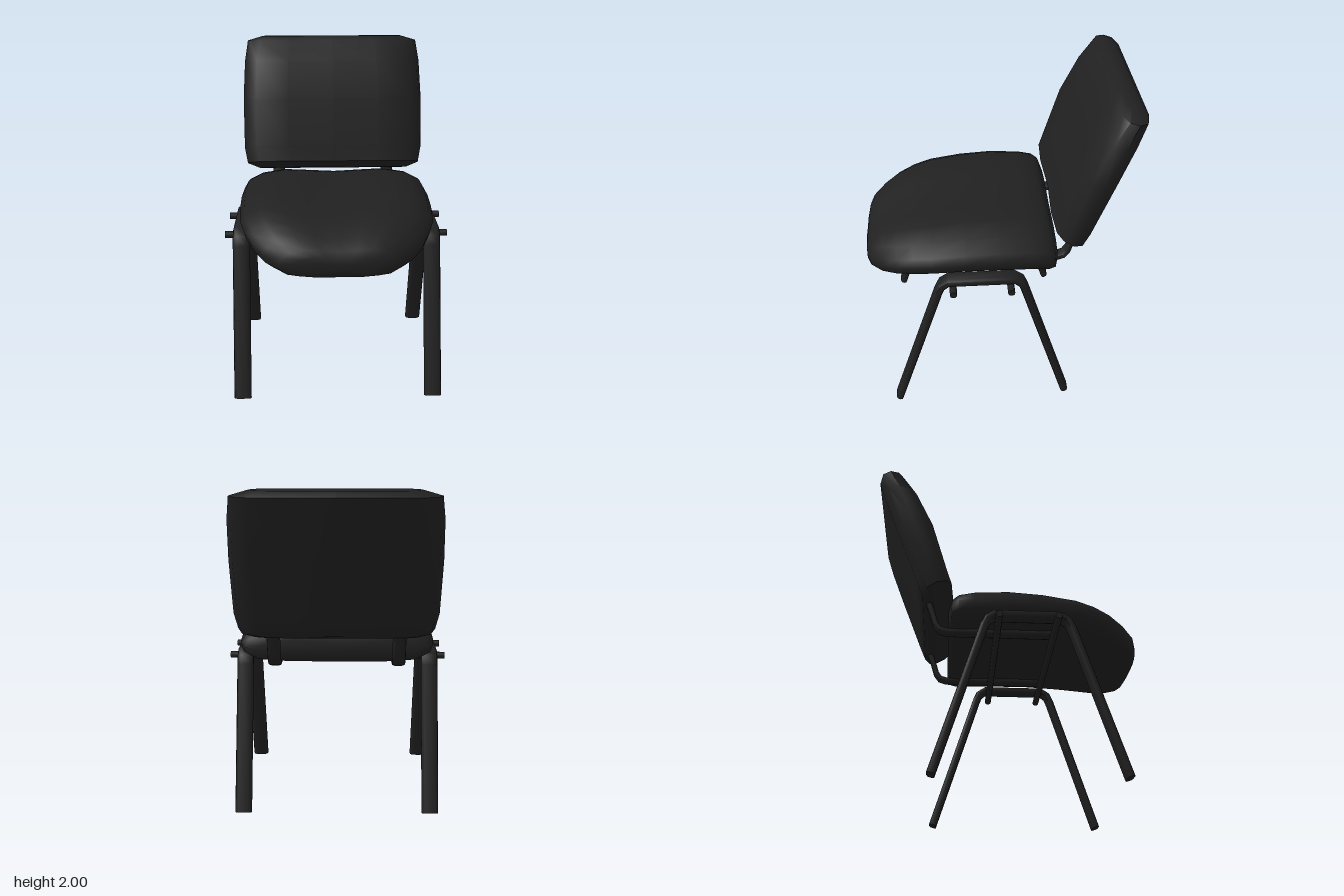
import * as THREE from 'three';
import { toCreasedNormals } from 'three/addons/utils/BufferGeometryUtils.js';

const black = new THREE.MeshStandardMaterial({ color: 0x202020 });
black.name = 'matte black';

// Loft a mirrored section through slices [halfWidth, zA, yA, zB, yB].
// The section lists [x fraction, t], with t running from side A (0) to side B (1).
function loft(name, section, slices, crease = 0.9) {
  const ring = [...section, ...section.filter(p => p[0] > 0).reverse().map(([x, t]) => [-x, t])];
  const n = ring.length, pos = [], idx = [];
  for (const [w, zA, yA, zB, yB] of slices) {
    for (const [x, t] of ring) pos.push(x * w, yA + (yB - yA) * t, zA + (zB - zA) * t);
  }
  const last = slices.length - 1;
  for (let j = 0; j < last; j++) {
    for (let i = 0; i < n; i++) {
      const k = (i + 1) % n, a = j * n + i, b = j * n + k;
      idx.push(a, a + n, b + n, a, b + n, b);
    }
  }
  // End caps
  for (const j of [0, last]) {
    const [, zA, yA, zB, yB] = slices[j], c = pos.length / 3;
    pos.push(0, (yA + yB) / 2, (zA + zB) / 2);
    for (let i = 0; i < n; i++) {
      const a = j * n + i, b = j * n + (i + 1) % n;
      idx.push(c, ...(j === 0 ? [a, b] : [b, a]));
    }
  }
  const geo = new THREE.BufferGeometry();
  geo.setAttribute('position', new THREE.Float32BufferAttribute(pos, 3));
  geo.setIndex(idx);
  const mesh = new THREE.Mesh(toCreasedNormals(geo, crease), black);
  mesh.name = name;
  return mesh;
}

// Flattened tube following a [z, y] path
function bentTube(name, path, halfWidth, halfThick, x) {
  const section = [[0.55, 0], [0.9, 0.15], [1, 0.5], [0.9, 0.85], [0.55, 1]];
  const slices = path.map(([z, y], i) => {
    const p = path[Math.max(i - 1, 0)], q = path[Math.min(i + 1, path.length - 1)];
    const len = Math.hypot(q[0] - p[0], q[1] - p[1]);
    const nz = -(q[1] - p[1]) / len * halfThick, ny = (q[0] - p[0]) / len * halfThick;
    return [halfWidth, z + nz, y + ny, z - nz, y - ny];
  });
  const mesh = loft(name, section, slices);
  mesh.position.x = x;
  return mesh;
}

export function createModel() {
  const chair = new THREE.Group();
  chair.name = 'chair';

  // Padded seat, lofted from back to front, drooping at the front edge
  chair.add(loft('seat',
    [[0, 0.07], [0.3, 0.03], [0.55, 0], [0.8, 0.1], [0.95, 0.3], [1, 0.52],
      [0.97, 0.75], [0.85, 0.93], [0.5, 1], [0, 1]],
    [
      [0.48, -0.35, 1.09, -0.35, 0.97],
      [0.56, -0.325, 1.145, -0.335, 0.955],
      [0.585, -0.29, 1.175, -0.29, 0.95],
      [0.59, -0.2, 1.197, -0.2, 0.955],
      [0.595, 0, 1.207, 0, 0.96],
      [0.59, 0.2, 1.192, 0.2, 0.96],
      [0.575, 0.4, 1.165, 0.4, 0.945],
      [0.545, 0.51, 1.142, 0.51, 0.925],
      [0.5, 0.61, 1.108, 0.61, 0.9],
      [0.43, 0.7, 1.068, 0.7, 0.872],
      [0.34, 0.775, 1.02, 0.775, 0.865],
      [0.26, 0.8, 0.985, 0.8, 0.868],
      [0.17, 0.81, 0.95, 0.81, 0.88],
    ]));

  // Padded backrest, lofted from top to bottom, leaning backwards
  chair.add(loft('backrest',
    [[0, 0.08], [0.5, 0], [0.85, 0.06], [0.96, 0.24], [1, 0.55], [0.95, 0.85], [0.78, 1], [0, 1]],
    [
      [0.47, -0.69, 2.0, -0.78, 1.99],
      [0.575, -0.645, 1.975, -0.808, 1.955],
      [0.595, -0.56, 1.85, -0.765, 1.82],
      [0.605, -0.45, 1.62, -0.675, 1.58],
      [0.6, -0.36, 1.32, -0.545, 1.24],
      [0.58, -0.325, 1.22, -0.508, 1.145],
      [0.5, -0.4, 1.155, -0.475, 1.128],
    ]));

  // Side frames (rear leg, top rail and front leg in one tube) and backrest supports
  for (const [side, s] of [['left', 1], ['right', -1]]) {
    chair.add(bentTube(side + 'LegFrame', [
      [-0.42, 0.01], [-0.145, 0.89], [-0.127, 0.935], [-0.085, 0.965],
      [0.305, 0.965], [0.347, 0.935], [0.367, 0.89], [0.65, 0.01],
    ], 0.052, 0.023, s * 0.577));
    chair.add(bentTube(side + 'BackSupport', [
      [-0.54, 1.32], [-0.455, 1.1], [-0.425, 1.0], [-0.4, 0.965], [-0.36, 0.952], [0.28, 0.952],
    ], 0.04, 0.017, s * 0.37));
  }

  // Crossbars under the seat
  for (const [name, z] of [['frontCrossbar', 0.28], ['rearCrossbar', -0.06]]) {
    const bar = new THREE.Mesh(new THREE.CylinderGeometry(0.021, 0.021, 1.36, 10), black);
    bar.rotation.z = Math.PI / 2;
    bar.position.set(0, 0.93, z);
    bar.name = name;
    chair.add(bar);
  }
  return chair;
}
